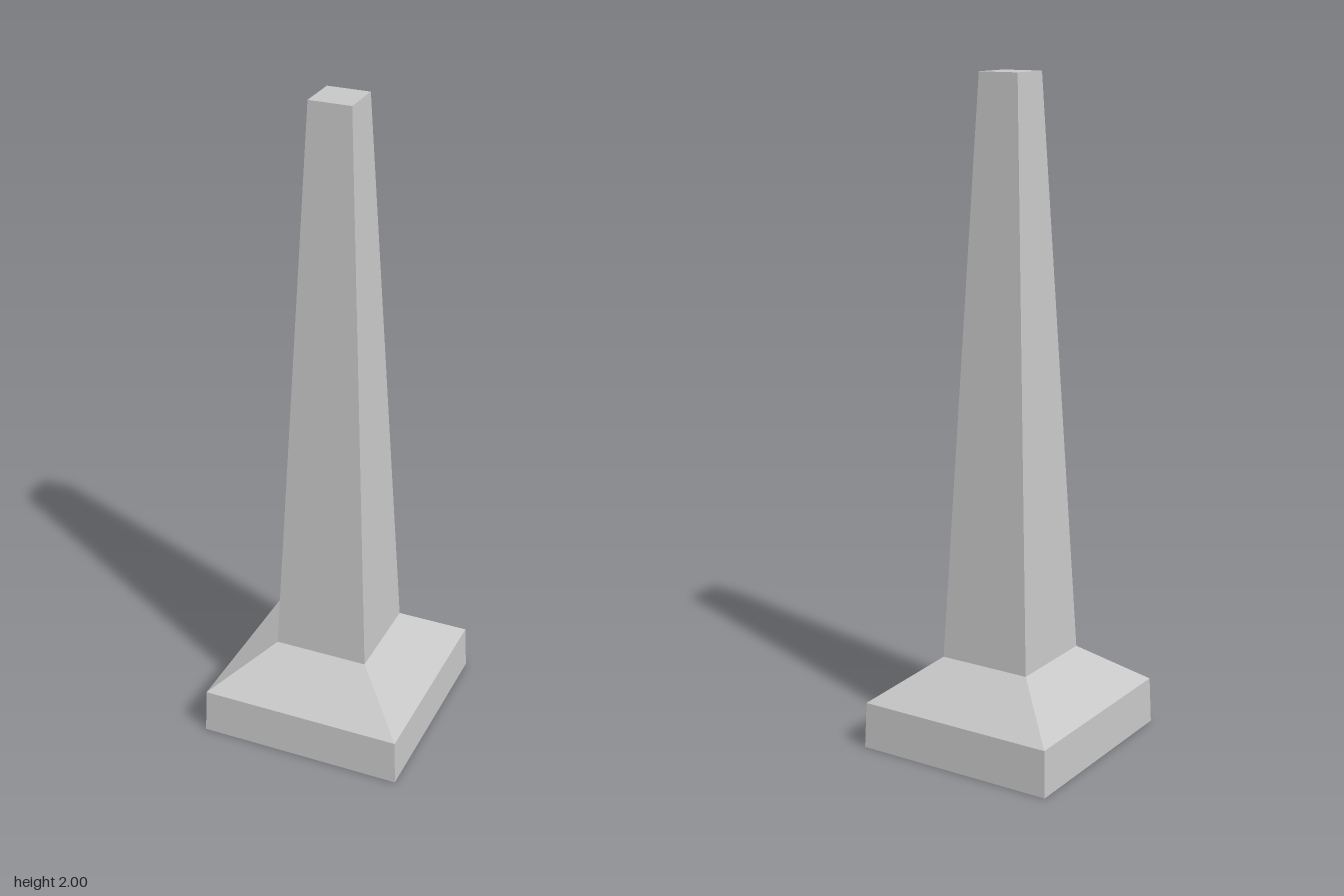
import * as THREE from 'three';

const stone = new THREE.MeshStandardMaterial({ color: 0xc6c6c6 });
stone.name = 'pale grey stone';

// Square tapered block between two heights, given half-widths at bottom and top
function taperedBlock(name, y0, y1, half0, half1) {
  const geometry = new THREE.BoxGeometry(2, y1 - y0, 2);
  const p = geometry.attributes.position;
  for (let i = 0; i < p.count; i++) {
    const half = p.getY(i) > 0 ? half1 : half0;
    p.setX(i, p.getX(i) * half);
    p.setZ(i, p.getZ(i) * half);
  }
  geometry.translate(0, (y0 + y1) / 2, 0);
  geometry.computeVertexNormals();
  const mesh = new THREE.Mesh(geometry, stone);
  mesh.name = name;
  return mesh;
}

export function createModel() {
  const obelisk = new THREE.Group();
  obelisk.name = 'obelisk';
  obelisk.add(
    taperedBlock('plinth', 0, 0.142, 0.318, 0.313),
    taperedBlock('slopedShoulder', 0.142, 0.27, 0.313, 0.146),
    taperedBlock('shaft', 0.27, 2, 0.146, 0.064)
  );
  return obelisk;
}
